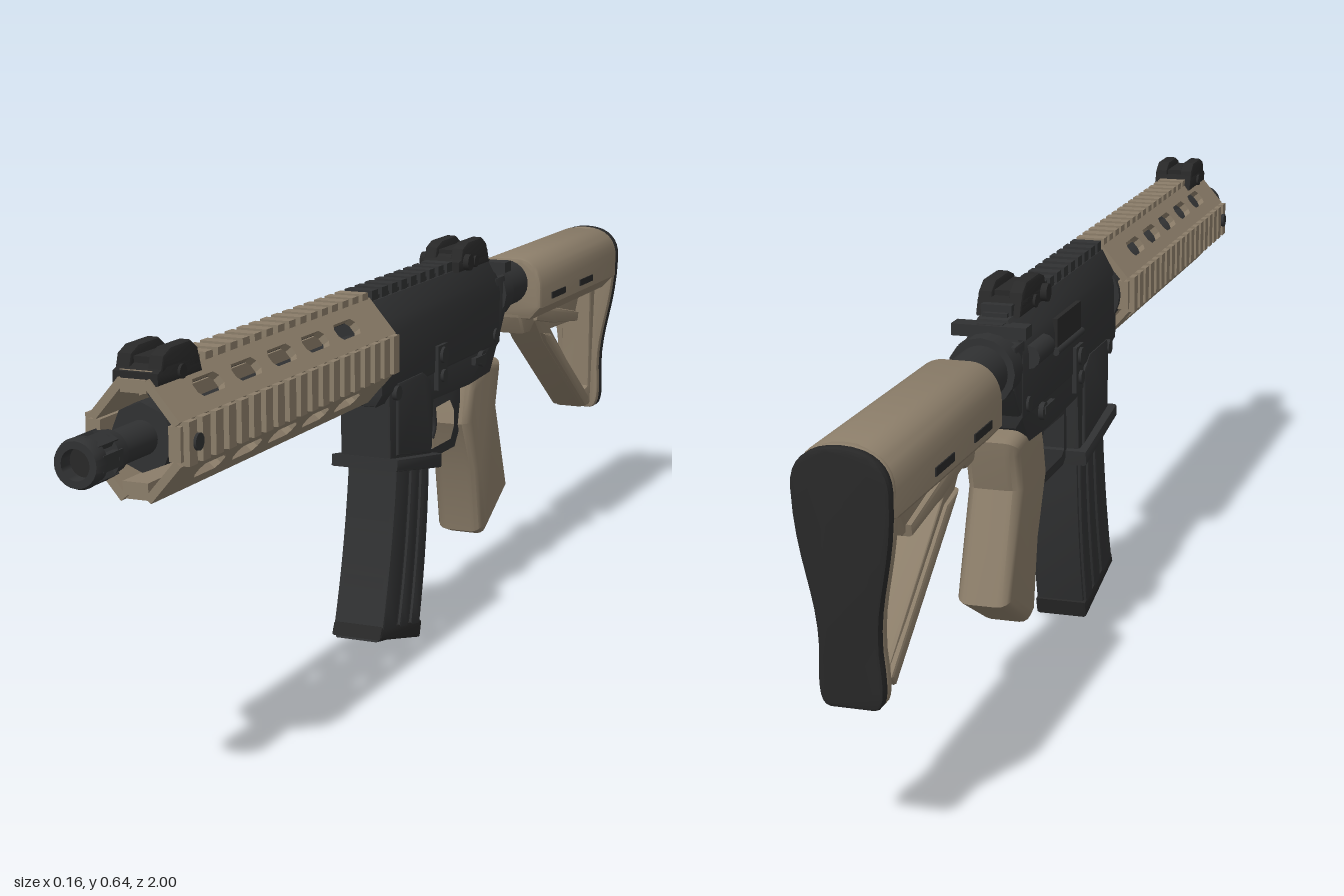
import * as THREE from 'three';
import { mergeGeometries, toCreasedNormals } from 'three/addons/utils/BufferGeometryUtils.js';

const CY = 0.522; // height of the barrel axis

export function createModel() {
  const model = new THREE.Group();
  const material = (name, color) => {
    const m = new THREE.MeshStandardMaterial({ color });
    m.name = name;
    return m;
  };
  const tan = material('tan polymer', 0x8b7d69);
  const dark = material('dark metal', 0x303132);
  const black = material('black rubber', 0x282828);

  const add = (name, geometry, mat, parent = model) => {
    const mesh = new THREE.Mesh(geometry, mat);
    mesh.name = name;
    parent.add(mesh);
    return mesh;
  };
  const toShape = (pts, holes = []) => {
    const s = new THREE.Shape(pts.map(p => new THREE.Vector2(...p)));
    for (const h of holes) s.holes.push(new THREE.Path(h.map(p => new THREE.Vector2(...p))));
    return s;
  };
  const extrude = (shape, depth, bevel, segments = 2) => {
    const g = new THREE.ExtrudeGeometry(shape, {
      depth: depth - 2 * bevel, bevelEnabled: bevel > 0, bevelSize: bevel,
      bevelThickness: bevel, bevelOffset: -bevel, bevelSegments: segments, curveSegments: 8,
    });
    g.translate(0, 0, bevel - depth / 2);
    return g;
  };
  // side outline given as [z, y], extruded across x
  const side = (pts, half, bevel = 0.006, holes = [], segments = 2) =>
    toCreasedNormals(extrude(toShape(pts, holes), half * 2, bevel, segments).rotateY(-Math.PI / 2), 0.6);
  // cross-section given as [x, y], extruded along z
  const along = (shape, z0, z1, bevel = 0.005) =>
    toCreasedNormals(extrude(shape, z1 - z0, bevel).translate(0, 0, (z0 + z1) / 2), 0.6);
  const box = (w, h, d, x, y, z) => new THREE.BoxGeometry(w, h, d).translate(x, y, z);
  const rod = (r0, r1, z0, z1, y = CY, x = 0, n = 24) =>
    new THREE.CylinderGeometry(r1, r0, z1 - z0, n).rotateX(Math.PI / 2).translate(x, y, (z0 + z1) / 2);
  const knob = (r, len, x, y, z, n = 16) =>
    new THREE.CylinderGeometry(r, r, len, n).rotateZ(Math.PI / 2).translate(x, y, z);

  // toothed accessory rail, turned around the barrel axis
  const rail = (name, mat, angle, dist, width, z0, z1, tooth) => {
    const parts = [box(width * 0.8, 0.018, z1 - z0, 0, dist - 0.009, (z0 + z1) / 2)];
    const n = Math.round((z1 - z0) / 0.038);
    const pitch = (z1 - z0) / n;
    for (let i = 0; i < n; i++) {
      parts.push(box(width, tooth + 0.005, pitch * 0.58, 0, dist + tooth / 2 - 0.0025, z0 + (i + 0.5) * pitch));
    }
    add(name, mergeGeometries(parts).rotateZ(angle).translate(0, CY, 0), mat);
  };

  // handguard: four slotted diagonal panels between four rails
  const slots = [];
  for (let i = 0; i < 5; i++) {
    const c = 0.725 - i * 0.1125, a = 0.038, b = 0.014;
    slots.push([[c - a, -b + 0.008], [c - a + 0.008, -b], [c + a - 0.008, -b], [c + a, -b + 0.008],
      [c + a, b - 0.008], [c + a - 0.008, b], [c - a + 0.008, b], [c - a, b - 0.008]]);
  }
  for (const sx of [1, -1]) for (const sy of [1, -1]) {
    const a = new THREE.Vector3(0.018 * sx, CY + 0.08 * sy, 0);
    const b = new THREE.Vector3(0.064 * sx, CY + 0.026 * sy, 0);
    const h = a.distanceTo(b) / 2;
    const panel = extrude(toShape([[0.14, -h], [0.85, -h], [0.85, h], [0.14, h]], slots), 0.012, 0);
    const u = new THREE.Vector3(0, 0, 1), v = b.clone().sub(a).normalize();
    const basis = new THREE.Matrix4().makeBasis(u, v, u.clone().cross(v));
    basis.setPosition(a.add(b).multiplyScalar(0.5));
    add('handguardPanel', panel.applyMatrix4(basis), tan);
  }
  rail('handguardTopRail', tan, 0, 0.082, 0.048, 0.14, 0.85, 0.011);
  rail('handguardBottomRail', tan, Math.PI, 0.074, 0.048, 0.14, 0.85, 0.008);
  for (const s of [1, -1]) {
    rail('handguardSideRail', tan, s * Math.PI / 2, 0.069, 0.06, 0.14, 0.85, 0.009);
    add('handguardScrew', knob(0.012, 0.006, s * 0.079, CY, 0.82), dark);
  }

  // barrel, gas block and slotted muzzle
  add('barrel', rod(0.025, 0.024, 0.1, 0.93), dark);
  add('gasBlock', rod(0.05, 0.048, 0.785, 0.83, CY, 0, 8), dark);
  add('gasTube', rod(0.008, 0.008, 0.1, 0.8, CY + 0.056, 0, 10), dark);
  add('muzzleCollar', rod(0.029, 0.033, 0.915, 0.945), dark);
  const ring = [[0.021, 0.975], [0.033, 0.975], [0.034, 0.992], [0.031, 1], [0.021, 1], [0.021, 0.975]];
  const lathe = new THREE.LatheGeometry(ring.map(p => new THREE.Vector2(...p)), 24).rotateX(Math.PI / 2);
  add('muzzleRing', toCreasedNormals(lathe, 0.6), dark);
  add('muzzleBore', new THREE.CircleGeometry(0.022, 20).translate(0, CY, 0.978), black);
  lathe.dispose();
  model.getObjectByName('muzzleRing').position.y = CY;
  for (let i = 0; i < 6; i++) {
    add('muzzleProng', box(0.022, 0.009, 0.05, 0, 0.028, 0.96).rotateZ((i + 0.5) * Math.PI / 3).translate(0, CY, 0), dark);
  }

  // upper receiver
  const upper = toShape([[-0.024, 0.598], [-0.042, 0.565], [-0.047, 0.54], [-0.047, 0.45], [-0.035, 0.43],
    [0.035, 0.43], [0.047, 0.45], [0.047, 0.54], [0.042, 0.565], [0.024, 0.598]]);
  add('upperReceiver', along(upper, -0.38, 0.145), dark);
  rail('receiverTopRail', dark, 0, 0.082, 0.048, -0.37, 0.14, 0.011);
  add('barrelNut', rod(0.056, 0.056, 0.13, 0.16), dark);
  add('ejectionPort', box(0.008, 0.045, 0.13, -0.047, 0.54, -0.15), black);
  add('portHinge', knob(0.006, 0.006, 0, 0, 0).rotateY(Math.PI / 2).scale(1, 1, 24).translate(-0.05, 0.512, -0.15), dark);
  add('forwardAssist', rod(0.018, 0.018, -0.35, -0.27, 0.535, -0.046, 12), dark);
  add('chargingHandle', box(0.116, 0.018, 0.03, 0, 0.583, -0.385), dark);
  add('chargingHandleStem', box(0.04, 0.02, 0.05, 0, 0.583, -0.37), dark);

  // lower receiver with magazine well
  add('lowerReceiver', side([[0.11, 0.47], [0.105, 0.33], [-0.07, 0.3], [-0.078, 0.4], [-0.24, 0.395],
    [-0.34, 0.4], [-0.395, 0.47], [-0.415, 0.5], [-0.41, 0.565], [-0.36, 0.565], [-0.36, 0.47]], 0.045), dark);
  add('magazineWellPanel', side([[0.085, 0.46], [0.085, 0.34], [-0.055, 0.315], [-0.055, 0.44], [-0.02, 0.46]], 0.05), dark);
  add('magazineWellFlange', side([[0.11, 0.34], [0.112, 0.32], [-0.078, 0.286], [-0.08, 0.31]], 0.059, 0.004), dark);
  for (const s of [1, -1]) {
    add('controlPlate', box(0.014, 0.075, 0.04, s * 0.046, 0.455, -0.095), dark);
    add('controlButton', knob(0.014, 0.016, s * 0.05, 0.475, -0.095), dark);
    add('controlButton', knob(0.011, 0.016, s * 0.05, 0.44, -0.095), dark);
    add('selectorPivot', knob(0.014, 0.012, s * 0.047, 0.435, -0.285), dark);
    add('selectorLever', box(0.008, 0.012, 0.05, s * 0.051, 0.437, -0.265), dark);
    add('frontPin', knob(0.012, 0.012, s * 0.047, 0.445, 0.09), dark);
    add('rearPin', knob(0.012, 0.012, s * 0.045, 0.465, -0.355), dark);
  }
  add('triggerGuard', side([[-0.07, 0.41], [-0.07, 0.3], [-0.09, 0.288], [-0.225, 0.287], [-0.25, 0.32], [-0.25, 0.41]],
    0.024, 0.004, [[[-0.084, 0.378], [-0.084, 0.312], [-0.1, 0.302], [-0.205, 0.302], [-0.222, 0.325], [-0.222, 0.355], [-0.2, 0.38]]]), dark);
  const triggerPath = new THREE.CatmullRomCurve3([[0.395, -0.165], [0.36, -0.175], [0.33, -0.178], [0.312, -0.165]]
    .map(([y, z]) => new THREE.Vector3(0, y, z)));
  add('trigger', new THREE.TubeGeometry(triggerPath, 10, 0.008, 8), dark);

  // curved magazine with raised ribs
  const curve = pts => new THREE.QuadraticBezierCurve(...pts.map(p => new THREE.Vector2(...p)));
  const magFront = curve([[0.075, 0.34], [0.09, 0.19], [0.143, 0.04]]);
  const magRear = curve([[-0.065, 0.32], [-0.062, 0.16], [-0.02, 0.01]]);
  const strip = (t0, t1, end = 1) => {
    const a = [], b = [];
    for (let i = 0; i <= 8; i++) {
      const f = magFront.getPoint(i / 8 * end), r = magRear.getPoint(i / 8 * end);
      a.push(f.clone().lerp(r, t0).toArray());
      b.unshift(f.clone().lerp(r, t1).toArray());
    }
    return a.concat(b);
  };
  add('magazineBody', side(strip(0, 1), 0.039, 0.004), dark);
  for (const [t0, t1] of [[0, 0.36], [0.44, 0.66], [0.74, 0.97]]) {
    add('magazineRib', side(strip(t0, t1, 0.95), 0.044, 0.004), dark);
  }
  add('magazineBase', side([[0.138, 0.065], [0.147, 0.045], [-0.022, 0.002], [-0.03, 0.03]], 0.044, 0.005), black);

  // pistol grip
  add('pistolGrip', side([[-0.25, 0.385], [-0.265, 0.42], [-0.345, 0.425], [-0.405, 0.415], [-0.4, 0.39], [-0.385, 0.335],
    [-0.445, 0.17], [-0.33, 0.105], [-0.302, 0.115], [-0.28, 0.23], [-0.235, 0.325]], 0.043, 0.02, [], 4), tan);

  // buffer tube
  add('bufferTube', rod(0.041, 0.041, -0.6, -0.4, 0.53), dark);
  add('castleNut', rod(0.052, 0.052, -0.435, -0.395, 0.53, 0, 16), dark);

  // stock: rounded upper body, open lower frame, butt plate and pad
  const body = new THREE.Shape();
  body.moveTo(-0.045, 0.462);
  body.lineTo(0.045, 0.462);
  body.lineTo(0.067, 0.485);
  body.lineTo(0.067, 0.52);
  body.bezierCurveTo(0.067, 0.555, 0.045, 0.576, 0.02, 0.576);
  body.lineTo(-0.02, 0.576);
  body.bezierCurveTo(-0.045, 0.576, -0.067, 0.555, -0.067, 0.52);
  body.lineTo(-0.067, 0.485);
  add('stockBody', along(body, -0.98, -0.535, 0.008), tan);
  add('stockFrame', side([[-0.535, 0.5], [-0.535, 0.465], [-0.555, 0.432], [-0.585, 0.43], [-0.61, 0.445], [-0.655, 0.4],
    [-0.9, 0.226], [-0.962, 0.22], [-0.978, 0.5]], 0.03, 0.007,
  [[[-0.7, 0.418], [-0.835, 0.412], [-0.86, 0.45], [-0.93, 0.46], [-0.928, 0.265], [-0.905, 0.26]]]), tan);
  add('stockLever', side([[-0.6, 0.475], [-0.7, 0.46], [-0.84, 0.43], [-0.835, 0.412], [-0.7, 0.43], [-0.6, 0.45]], 0.038, 0.005), tan);
  add('stockBrace', side([[-0.64, 0.42], [-0.66, 0.4], [-0.9, 0.228], [-0.92, 0.245], [-0.69, 0.41]], 0.036, 0.005), tan);
  for (const s of [1, -1]) for (const z of [-0.63, -0.79]) {
    add('stockSlot', box(0.004, 0.012, 0.075, s * 0.067, 0.501, z), black);
  }
  const butt = new THREE.Shape();
  butt.moveTo(-0.03, 0.218);
  butt.lineTo(0.03, 0.218);
  butt.bezierCurveTo(0.05, 0.22, 0.045, 0.26, 0.042, 0.3);
  butt.bezierCurveTo(0.04, 0.38, 0.067, 0.42, 0.067, 0.52);
  butt.bezierCurveTo(0.067, 0.555, 0.045, 0.578, 0, 0.578);
  butt.bezierCurveTo(-0.045, 0.578, -0.067, 0.555, -0.067, 0.52);
  butt.bezierCurveTo(-0.067, 0.42, -0.04, 0.38, -0.042, 0.3);
  butt.bezierCurveTo(-0.045, 0.26, -0.05, 0.22, -0.03, 0.218);
  const sheared = (z0, z1) => {
    const g = along(butt, z0, z1, 0.005), p = g.attributes.position;
    for (let i = 0; i < p.count; i++) p.setZ(i, p.getZ(i) + (0.576 - p.getY(i)) * 0.08);
    return g;
  };
  add('buttPlate', sheared(-0.983, -0.965), tan);
  add('buttPad', sheared(-1, -0.98), black);

  // folded sights
  const sight = (name, z0, z1) => {
    const m = (z0 + z1) / 2, h = (z1 - z0) / 2;
    add(name + 'Base', side([[z0, 0.595], [z1, 0.595], [z1, 0.613], [m + h * 0.6, 0.622], [z0 + 0.01, 0.622]], 0.035, 0.004), black);
    for (const s of [1, -1]) {
      add(name + 'Wing', side([[m - h * 0.9, 0.605], [m + h * 0.9, 0.605], [m + h * 0.75, 0.634], [m + h * 0.4, 0.643],
        [m - h * 0.5, 0.643], [m - h * 0.8, 0.63]], 0.011, 0.004).translate(s * 0.024, 0, 0), black);
    }
    add(name + 'Arm', box(0.03, 0.012, h * 1.3, 0, 0.624, m), black);
    add(name + 'Clamp', knob(0.01, 0.078, 0, 0.606, m), black);
  };
  sight('frontSight', 0.72, 0.845);
  sight('rearSight', -0.355, -0.21);
  add('rearSightKnob', knob(0.014, 0.09, 0, 0.61, -0.24), black);

  return model;
}
